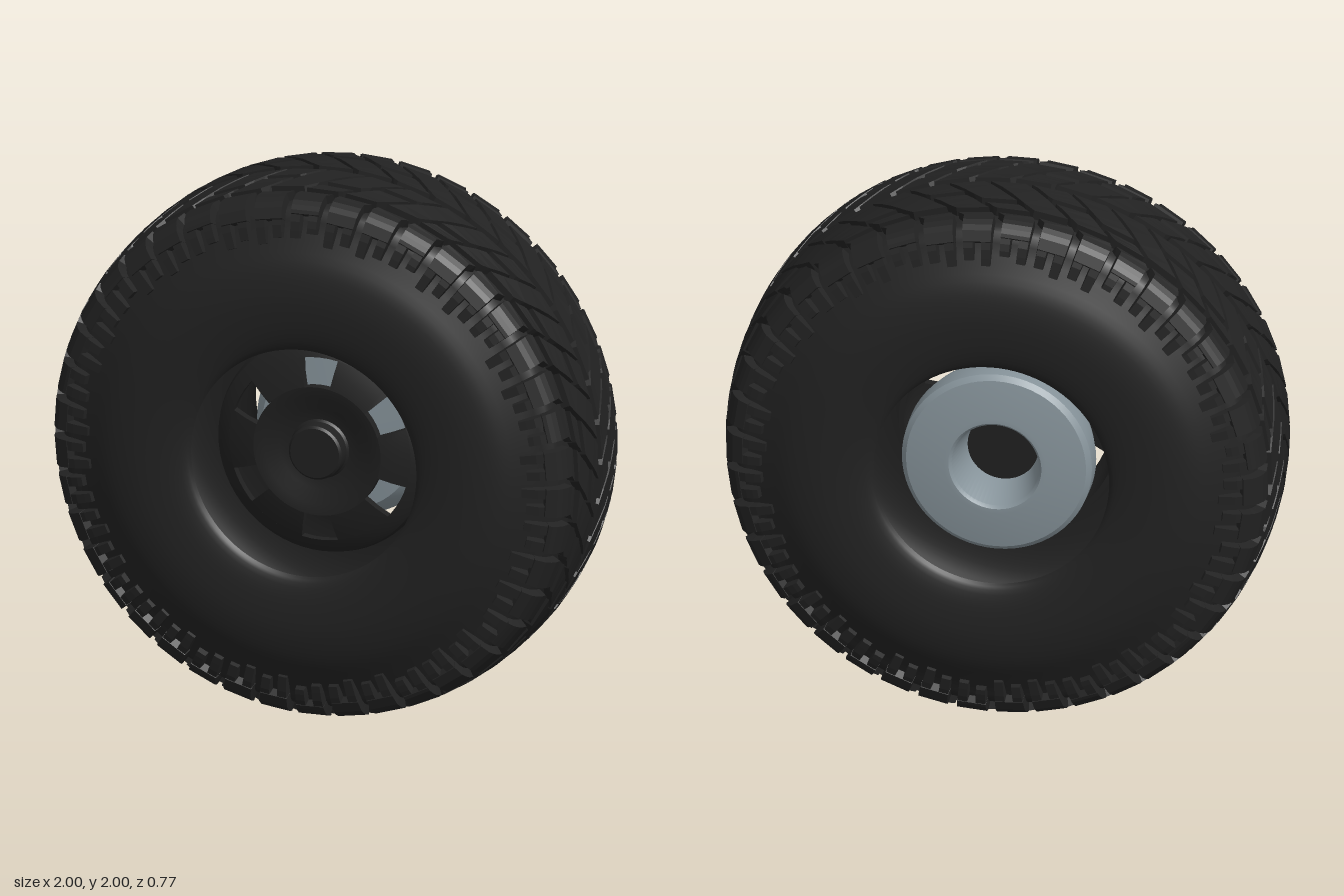
import * as THREE from 'three';
import { mergeGeometries, toCreasedNormals } from 'three/addons/utils/BufferGeometryUtils.js';

const V2 = (p) => new THREE.Vector2(p[0], p[1]);
const rubber = new THREE.MeshStandardMaterial({ color: 0x222222, side: THREE.DoubleSide });
rubber.name = 'black rubber';
const rimBlack = new THREE.MeshStandardMaterial({ color: 0x202020, side: THREE.DoubleSide });
rimBlack.name = 'black rim';
const steel = new THREE.MeshStandardMaterial({ color: 0x87949b, side: THREE.DoubleSide });
steel.name = 'grey steel';

// Revolve [radius, z] points around the z axis
function revolve(pts, segs = 64, phi = 0, len = Math.PI * 2, crease = 0.5) {
  const g = new THREE.LatheGeometry(pts.map(V2), segs, phi, len);
  g.rotateX(Math.PI / 2);
  return toCreasedNormals(g, crease);
}

// Outer surface of the tread: arc length s from the centre line -> [z, r]
const OUTER = [[0, 1], [0.1, 0.997], [0.2, 0.985], [0.27, 0.968], [0.3, 0.945], [0.325, 0.89], [0.332, 0.85], [0.338, 0.815]];
const DIST = [0];
for (let i = 1; i < OUTER.length; i++) {
  DIST.push(DIST[i - 1] + Math.hypot(OUTER[i][0] - OUTER[i - 1][0], OUTER[i][1] - OUTER[i - 1][1]));
}
function outer(s) {
  let i = 1;
  while (i < OUTER.length - 1 && DIST[i] < s) i++;
  const f = (s - DIST[i - 1]) / (DIST[i] - DIST[i - 1]);
  return [0, 1].map((k) => OUTER[i - 1][k] + f * (OUTER[i][k] - OUTER[i - 1][k]));
}

// One tread block: follows the surface from s0 to s1, centred on angle mid(s)
function block(side, mid, half, s0, s1, n) {
  const pos = [], idx = [];
  for (let i = 0; i <= n; i++) {
    const s = s0 + ((s1 - s0) * i) / n;
    const a = outer(s - 0.003), b = outer(s + 0.003);
    const l = Math.hypot(b[0] - a[0], b[1] - a[1]);
    const nz = -(b[1] - a[1]) / l, nr = (b[0] - a[0]) / l;
    const inset = i === 0 ? 0.007 : i === n ? -0.007 : 0;
    const top = outer(s + inset), base = outer(s);
    const low = [base[0] - 0.05 * nz, base[1] - 0.05 * nr];
    const w = half(s);
    for (const [p, du] of [[low, -w - 0.006], [top, -w], [top, w], [low, w + 0.006]]) {
      const t = mid(s) + du;
      pos.push(p[1] * Math.sin(t), p[1] * Math.cos(t), p[0] * side);
    }
  }
  const quad = (a, b, c, d) => (side > 0 ? idx.push(a, b, c, a, c, d) : idx.push(a, c, b, a, d, c));
  for (let i = 0; i < n; i++) {
    for (let k = 0; k < 3; k++) quad(i * 4 + k, i * 4 + 4 + k, i * 4 + 5 + k, i * 4 + 1 + k);
  }
  quad(0, 1, 2, 3);
  quad(n * 4 + 3, n * 4 + 2, n * 4 + 1, n * 4);
  const g = new THREE.BufferGeometry();
  g.setAttribute('position', new THREE.Float32BufferAttribute(pos, 3));
  g.setIndex(idx);
  const flat = g.toNonIndexed();
  flat.computeVertexNormals();
  return flat;
}

function add(group, name, geometry, material) {
  const m = new THREE.Mesh(geometry, material);
  m.name = name;
  group.add(m);
}

export function createModel() {
  const wheel = new THREE.Group();
  wheel.name = 'wheel';
  const parts = new THREE.Group();
  parts.name = 'wheelAssembly';
  parts.position.y = 1;
  wheel.add(parts);

  // Tyre carcass, open at the centre
  const halfWall = [[0.425, 0.345], [0.445, 0.362], [0.51, 0.379], [0.6, 0.386], [0.67, 0.38], [0.74, 0.362],
    [0.81, 0.328], [0.87, 0.298], [0.925, 0.27], [0.95, 0.2], [0.962, 0.1]];
  const wall = [...halfWall.map(([r, z]) => [r, -z]), [0.966, 0], ...halfWall.slice().reverse()];
  const smooth = new THREE.SplineCurve(wall.map(V2)).getPoints(66).map((p) => [p.x, p.y]);
  add(parts, 'tyreCarcass', revolve(smooth, 96, 0, Math.PI * 2, 1), rubber);

  // Herringbone tread: diagonal centre bars, mid blocks and forked shoulder lugs
  const COUNT = 42, STEP = (Math.PI * 2) / COUNT;
  const centre = [], lugs = [];
  for (const side of [-1, 1]) {
    for (let i = 0; i < COUNT; i++) {
      const u = i * STEP + (side > 0 ? STEP / 2 : 0);
      const bend = 0.235;
      const mid = (s) => u - Math.min(s, bend);
      const split = [0.2, 0.15, 0.1][i % 3];
      const start = side > 0 ? 0.012 : -0.0;
      centre.push(block(side, mid, () => 0.063, start + 0.004, split - 0.007, 4));
      if (split < 0.2) centre.push(block(side, mid, () => 0.06, split + 0.007, 0.205, 3));
      // Shoulder lug
      const end = [0.36, 0.34, 0.36][i % 3];
      lugs.push(block(side, mid, (s) => (s < bend ? 0.062 : 0.056), 0.217, end, 6));
      // Forked ends reaching down the sidewall
      for (const d of [-0.036, 0.036]) {
        lugs.push(block(side, (s) => mid(s) + d, () => 0.019, end - 0.01, end + (d < 0 ? 0.09 : 0.07), 3));
      }
    }
  }
  add(parts, 'treadCentreBlocks', mergeGeometries(centre), rubber);
  add(parts, 'treadShoulderLugs', mergeGeometries(lugs), rubber);

  // Rim dish: solid centre, six spokes leaving windows, and outer lip
  const dish = [[0.24, 0.17], [0.24, 0.205], [0.2, 0.2], [0.15, 0.178], [0.1, 0.17], [0, 0.17]];
  add(parts, 'rimCentre', revolve([[0, 0.14], [0.1, 0.14], [0.15, 0.145], [0.2, 0.165], ...dish]), rimBlack);
  add(parts, 'rimLip', revolve([[0.342, 0.14], [0.365, 0.12], [0.38, 0.09], [0.385, 0.06], [0.404, 0.06],
    [0.404, 0.11], [0.395, 0.14], [0.375, 0.158], [0.342, 0.173], [0.342, 0.14]]), rimBlack);
  const spoke = [[0.24, 0.17], [0.29, 0.162], [0.342, 0.14], [0.342, 0.173], [0.29, 0.194], [0.24, 0.205], [0.24, 0.17]];
  const windowHalf = 0.2, spokes = [];
  for (let i = 0; i < 6; i++) {
    const from = (i * Math.PI) / 3 + windowHalf, len = Math.PI / 3 - 2 * windowHalf;
    spokes.push(revolve(spoke, 10, from, len));
    for (const phi of [from, from + len]) {
      const cap = new THREE.ShapeGeometry(new THREE.Shape(spoke.slice(0, -1).map(V2)));
      cap.rotateY(phi - Math.PI / 2);
      cap.rotateX(Math.PI / 2);
      spokes.push(cap.toNonIndexed());
    }
  }
  add(parts, 'rimSpokes', mergeGeometries(spokes), rimBlack);

  // Hub cap and axle hub
  add(parts, 'hubCap', revolve([[0.12, 0.16], [0.103, 0.18], [0.1, 0.222], [0.092, 0.23], [0, 0.23]], 48), rimBlack);
  add(parts, 'axleHub', revolve([[0, -0.1], [0.128, -0.1], [0.128, 0.15], [0, 0.15]], 48), rimBlack);

  // Brake drum with a tapered bore at the back
  add(parts, 'brakeDrum', revolve([[0.13, -0.12], [0.158, -0.26], [0.168, -0.272], [0.185, -0.272], [0.325, -0.248],
    [0.343, -0.23], [0.345, -0.15], [0.33, -0.09], [0.292, -0.04], [0.13, -0.03], [0.13, -0.12]], 64), steel);

  return wheel;
}
